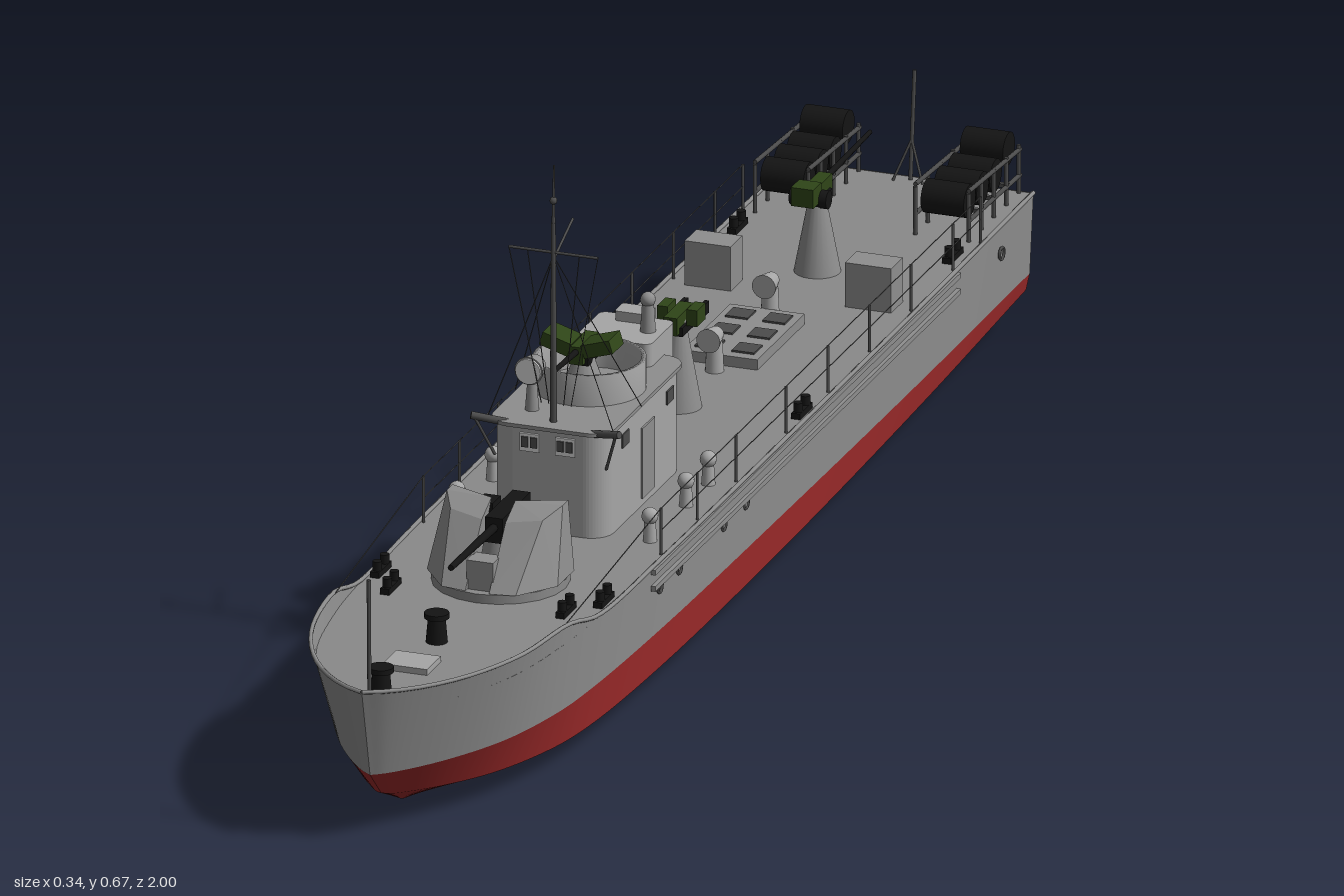
import * as THREE from 'three';
import { ConvexGeometry } from 'three/addons/geometries/ConvexGeometry.js';

const V = (x, y, z) => new THREE.Vector3(x, y, z);
const mat = (name, color, side = THREE.FrontSide) => {
  const m = new THREE.MeshStandardMaterial({ color, side });
  m.name = name;
  return m;
};

export function createModel() {
  const g = new THREE.Group();
  const D = THREE.DoubleSide;
  const grey = mat('hullGrey', 0x8e8e8e, D), red = mat('bottomRed', 0x9c2a2a, D);
  const deckM = mat('deckGrey', 0x8a8a8a, D), light = mat('houseGrey', 0xa6a6a6, D);
  const dark = mat('darkGrey', 0x4c4c4c), black = mat('black', 0x141414);
  const green = mat('gunGreen', 0x2f4518), white = mat('white', 0xdcdcdc), buoyRed = mat('buoyRed', 0xc8281e);

  // Helpers
  const add = (name, geo, m, x = 0, y = 0, z = 0, rx = 0, ry = 0, rz = 0) => {
    const o = new THREE.Mesh(geo, m);
    o.name = name;
    o.position.set(x, y, z);
    o.rotation.set(rx, ry, rz);
    g.add(o);
    return o;
  };
  const box = (name, m, w, h, d, x, y, z, rx, ry, rz) => add(name, new THREE.BoxGeometry(w, h, d), m, x, y, z, rx, ry, rz);
  const cyl = (name, m, r1, r2, h, x, y, z, rx, ry, rz) => add(name, new THREE.CylinderGeometry(r1, r2, h, 20), m, x, y, z, rx, ry, rz);
  const rod = (name, m, a, b, r, r2 = r) => {
    const o = add(name, new THREE.CylinderGeometry(r2, r, a.distanceTo(b), r < 0.0015 ? 4 : 8), m);
    o.position.copy(a).add(b).multiplyScalar(0.5);
    o.quaternion.setFromUnitVectors(V(0, 1, 0), b.clone().sub(a).normalize());
  };
  const slab = (name, m, w, h, d, r, y, z) => {
    const s = new THREE.Shape(), a = w / 2, b = d / 2;
    s.moveTo(-a + r, -b).lineTo(a - r, -b).absarc(a - r, -b + r, r, -Math.PI / 2, 0)
      .absarc(a - r, b - r, r, 0, Math.PI / 2).absarc(-a + r, b - r, r, Math.PI / 2, Math.PI)
      .absarc(-a + r, -b + r, r, Math.PI, Math.PI * 1.5);
    add(name, new THREE.ExtrudeGeometry(s, { depth: h, bevelEnabled: false, curveSegments: 6 }), m, 0, y, z, -Math.PI / 2);
  };
  const loft = (name, m, A, B, flip) => {
    const pos = [], idx = [];
    A.forEach((a, i) => {
      pos.push(...a.toArray(), ...B[i].toArray());
      if (i) {
        const k = i * 2 - 2;
        idx.push(...(flip ? [k, k + 2, k + 1, k + 1, k + 2, k + 3] : [k, k + 1, k + 2, k + 1, k + 3, k + 2]));
      }
    });
    const geo = new THREE.BufferGeometry();
    geo.setAttribute('position', new THREE.Float32BufferAttribute(pos, 3));
    geo.setIndex(idx);
    geo.computeVertexNormals();
    add(name, geo, m);
  };

  // Hull stations: z, deck x, waterline x, chine x, chine y, keel y, sheer y
  const stations = [
    [-0.985, 0.162, 0.157, 0.152, 0.055, 0.036, 0.188], [-0.6, 0.166, 0.162, 0.158, 0.045, 0.02, 0.188],
    [-0.1, 0.167, 0.164, 0.161, 0.036, 0.006, 0.188], [0.35, 0.166, 0.162, 0.158, 0.034, 0.003, 0.188],
    [0.58, 0.162, 0.154, 0.146, 0.035, 0.003, 0.19], [0.68, 0.158, 0.144, 0.13, 0.037, 0.004, 0.213],
    [0.8, 0.141, 0.116, 0.095, 0.041, 0.007, 0.214], [0.89, 0.107, 0.077, 0.055, 0.045, 0.013, 0.215],
    [0.95, 0.067, 0.042, 0.026, 0.049, 0.019, 0.216], [0.985, 0.03, 0.016, 0.009, 0.052, 0.025, 0.217],
    [1.0, 0, 0, 0, 0.055, 0.03, 0.217]];
  const level = (rake, fx, fy) => new THREE.CatmullRomCurve3(stations.map(s =>
    V(fx(s), fy(s), s[0] - rake * Math.max(0, (s[0] - 0.45) / 0.55) ** 3))).getPoints(60);
  const sheer = level(0, s => s[1], s => s[6]);
  const water = level(0.03, s => s[2], s => 0.086 + 0.008 * s[0]);
  const chine = level(0.07, s => s[3], s => s[4]);
  const keel = level(0.13, () => 0, s => s[5]);
  const DECK = 0.187;
  const edge = sheer.map((p, i) => water[i].clone().lerp(p, Math.min(1, (DECK - water[i].y) / (p.y - water[i].y))));
  const mirror = a => a.map(p => V(-p.x, p.y, p.z));
  for (const s of [1, -1]) {
    const f = a => s > 0 ? a : mirror(a);
    loft('topside', grey, f(water), f(sheer), s < 0);
    loft('bilge', red, f(chine), f(water), s < 0);
    loft('bottom', red, f(keel), f(chine), s < 0);
    add('gunwale', new THREE.TubeGeometry(new THREE.CatmullRomCurve3(f(sheer)), 80, 0.003, 6), grey);
  }
  loft('deck', deckM, edge, mirror(edge), true);
  const transom = (name, m, a, b, c) => {
    const p = [a, b].map(q => new THREE.Vector2(q.x, q.y));
    if (c) p.push(new THREE.Vector2(0, c.y));
    for (const q of [b, a]) p.push(new THREE.Vector2(-q.x, q.y));
    add(name, new THREE.ShapeGeometry(new THREE.Shape(p)), m, 0, 0, -0.985, 0, Math.PI);
  };
  transom('transomUpper', grey, sheer[0], water[0]);
  transom('transomLower', red, water[0], chine[0], keel[0]);

  // Deckhouse, bridge and rear casing
  slab('deckhouse', light, 0.155, 0.142, 0.28, 0.03, DECK, 0.19);
  slab('rearCasing', light, 0.1, 0.175, 0.09, 0.01, DECK, 0.05);
  slab('ventTrunk', light, 0.045, 0.11, 0.03, 0.004, 0.265, 0.015);
  slab('roofEdge', grey, 0.165, 0.005, 0.29, 0.03, 0.326, 0.19);
  add('bridgeTub', new THREE.LatheGeometry([[0.072, 0], [0.072, 0.042], [0.066, 0.042], [0.066, 0]].map(p =>
    new THREE.Vector2(...p)), 32), light, 0, 0.33, 0.18);
  for (const s of [1, -1]) {
    box('windowFrame', white, 0.026, 0.024, 0.004, s * 0.024, 0.307, 0.331);
    for (const k of [-1, 1]) box('windowPane', dark, 0.009, 0.014, 0.003, s * 0.024 + k * 0.006, 0.308, 0.3335);
    box('sideDoor', grey, 0.004, 0.095, 0.045, s * 0.078, 0.245, 0.18);
    for (const z of [0.1, 0.26]) box('sideWindow', dark, 0.003, 0.018, 0.024, s * 0.078, 0.3, z);
    rod('signalArm', dark, V(s * 0.05, 0.325, 0.32), V(s * 0.1, 0.337, 0.34), 0.005);
    rod('armStay', dark, V(s * 0.095, 0.335, 0.34), V(s * 0.075, 0.28, 0.32), 0.002);
  }
  for (let i = 0; i < 7; i++) box('ladderRung', dark, 0.03, 0.003, 0.006, -0.015, 0.21 + i * 0.02, 0.003);
  add('lifebuoy', new THREE.TorusGeometry(0.019, 0.005, 8, 24), buoyRed, -0.083, 0.3, 0.11, 0, Math.PI / 2);
  // Searchlight
  cyl('searchlightStand', grey, 0.006, 0.009, 0.04, -0.04, 0.35, 0.28);
  cyl('searchlight', grey, 0.019, 0.014, 0.025, -0.04, 0.387, 0.28, Math.PI / 2);
  cyl('searchlightGlass', white, 0.017, 0.017, 0.003, -0.04, 0.387, 0.294, Math.PI / 2);
  cyl('compass', grey, 0.007, 0.01, 0.045, 0.03, 0.385, 0.05);
  add('compassTop', new THREE.SphereGeometry(0.01, 12, 8), grey, 0.03, 0.405, 0.05);

  // Mast and rigging
  rod('mast', dark, V(0, 0.33, 0.31), V(0, 0.6, 0.31), 0.005, 0.003);
  rod('topmast', dark, V(0, 0.6, 0.31), V(0, 0.677, 0.308), 0.0025, 0.0012);
  add('mastLight', new THREE.SphereGeometry(0.005, 10, 8), dark, 0, 0.63, 0.31);
  rod('yard', dark, V(-0.06, 0.56, 0.31), V(0.06, 0.56, 0.31), 0.002);
  rod('gaff', dark, V(0, 0.55, 0.31), V(0, 0.58, 0.24), 0.0018);
  for (const s of [1, -1]) {
    for (const [x, x2] of [[0.06, 0.02], [0.035, 0.01]])
      rod('halyard', dark, V(s * x, 0.56, 0.31), V(s * x2, 0.35, 0.3), 0.0007);
    for (const z of [0.22, 0.32]) rod('shroud', dark, V(0, 0.555, 0.31), V(s * 0.085, 0.33, z), 0.0007);
  }

  // Forward gun with split shield
  cyl('gunPlatform', deckM, 0.088, 0.088, 0.012, 0, DECK + 0.006, 0.5);
  cyl('gunPedestal', grey, 0.022, 0.035, 0.06, 0, 0.225, 0.49);
  for (const s of [1, -1])
    add('gunShield', new ConvexGeometry([[0.016, 0.2, 0.585], [0.05, 0.2, 0.58], [0.088, 0.2, 0.53], [0.088, 0.2, 0.47],
      [0.016, 0.2, 0.54], [0.016, 0.275, 0.525], [0.062, 0.28, 0.515], [0.078, 0.292, 0.485], [0.078, 0.292, 0.465],
      [0.016, 0.292, 0.49]].map(p => V(s * p[0], p[1], p[2]))).toNonIndexed(), grey);
  box('shieldSill', grey, 0.036, 0.04, 0.03, 0, 0.218, 0.56);
  box('gunBreech', black, 0.024, 0.034, 0.1, 0, 0.262, 0.475);
  rod('gunBarrel', black, V(0, 0.265, 0.5), V(0, 0.268, 0.68), 0.006, 0.004);
  for (const s of [1, -1]) box('gunSight', black, 0.022, 0.022, 0.03, s * 0.035, 0.262, 0.45);

  // Light guns: bridge, midship and aft
  const gun = (y, z, dir, len, scale) => {
    cyl('gunStand', grey, 0.009 * scale, 0.03 * scale, y - (z > 0 ? 0.33 : DECK), 0, (y + (z > 0 ? 0.33 : DECK)) / 2, z);
    box('gunBody', green, 0.018 * scale, 0.024, 0.06 * scale, 0, y, z);
    box('gunCradle', black, 0.026 * scale, 0.012, 0.04 * scale, 0, y - 0.01, z);
    rod('lightBarrel', black, V(0, y + 0.004, z), V(0, y + 0.008, z + dir * len), 0.0045, 0.003);
  };
  gun(0.39, 0.2, 1, 0.11, 1);
  gun(0.305, -0.14, 1, 0.06, 1);
  gun(0.297, -0.64, -1, 0.19, 1);
  for (const s of [1, -1]) {
    box('bridgeMagazine', green, 0.04, 0.018, 0.04, s * 0.028, 0.402, 0.21, 0, 0, s * 0.3);
    box('midMagazine', green, 0.014, 0.022, 0.03, s * 0.02, 0.31, -0.15);
    box('shoulderRest', black, 0.006, 0.016, 0.04, s * 0.014, 0.3, -0.185);
    cyl('aftHandwheel', black, 0.012, 0.012, 0.01, s * 0.02, 0.295, -0.615, 0, 0, Math.PI / 2);
  }
  box('aftSight', green, 0.03, 0.025, 0.03, 0, 0.305, -0.6);

  // Stern depth charge racks
  for (const s of [1, -1]) {
    const X = s * 0.108;
    for (const k of [-0.036, 0.036]) {
      rod('rackRailLow', dark, V(X + k, 0.215, -0.8), V(X + k, 0.21, -0.985), 0.003);
      rod('rackRailHigh', dark, V(X + k, 0.255, -0.8), V(X + k, 0.245, -0.985), 0.003);
      for (let i = 0; i < 5; i++) rod('rackPost', dark, V(X + k, DECK, -0.8 - i * 0.045), V(X + k, 0.252, -0.8 - i * 0.045), 0.0028);
    }
    for (let i = 0; i < 4; i++) {
      const last = i === 3;
      cyl('depthCharge', black, 0.022, 0.022, 0.058, X, last ? 0.252 : 0.233, -0.822 - i * 0.047, 0, 0, Math.PI / 2);
      if (!last) box('rackCrossbar', dark, 0.075, 0.005, 0.006, X, 0.212, -0.845 - i * 0.047);
    }

    // Side fittings: lockers, cleats, vents, rub strakes, portholes
    box('locker', grey, 0.062, 0.06, 0.042, X, DECK + 0.03, -0.555);
    for (const [x, z] of [[0.118, 0.58], [0.15, 0.53], [0.155, -0.17], [0.145, -0.74]]) {
      box('cleatBase', black, 0.012, 0.008, 0.045, s * x, DECK + 0.004, z);
      for (const k of [-0.013, 0.013]) cyl('cleatPost', black, 0.006, 0.006, 0.02, s * x, DECK + 0.01, z + k);
    }
    for (const z of [0.1, 0.18, 0.31]) {
      cyl('sideVent', light, 0.007, 0.009, 0.03, s * 0.13, DECK + 0.015, z);
      add('sideVentCap', new THREE.SphereGeometry(0.011, 12, 8), light, s * 0.13, DECK + 0.034, z);
    }
    for (const y of [0.16, 0.182]) box('rubStrake', grey, 0.006, 0.007, 1.1, s * 0.168, y, -0.15);
    for (const z of [0.37, 0.3, 0.14, 0.06, -0.86])
      add('porthole', new THREE.TorusGeometry(0.008, 0.002, 6, 16), dark, s * 0.166, 0.152, z, 0, Math.PI / 2);
    box('anchor', dark, 0.008, 0.02, 0.03, s * 0.15, 0.165, 0.63);

    // Guard rails
    const zs = [0.35, 0.22, 0.08, -0.1, -0.25, -0.4, -0.55, -0.7, -0.8];
    zs.forEach((z, i) => {
      rod('railPost', dark, V(s * 0.16, DECK, z), V(s * 0.16, 0.25, z), 0.002);
      if (i) for (const y of [0.25, 0.22]) rod('railWire', dark, V(s * 0.16, y, zs[i - 1]), V(s * 0.16, y, z), 0.0009);
    });
    rod('railWire', dark, V(s * 0.16, 0.25, 0.35), V(s * 0.155, 0.213, 0.68), 0.0009);
  }

  // Centreline deck fittings
  for (const z of [0.73, 0.93]) {
    cyl('bollard', black, 0.011, 0.014, 0.035, 0, DECK + 0.017, z);
    cyl('bollardCap', black, 0.016, 0.016, 0.007, 0, DECK + 0.036, z);
  }
  box('foreHatch', light, 0.06, 0.008, 0.05, 0, DECK + 0.004, 0.82);
  box('engineHatch', grey, 0.1, 0.014, 0.17, 0, DECK + 0.007, -0.375);
  for (const s of [1, -1]) for (let i = 0; i < 3; i++)
    box('skylight', dark, 0.03, 0.003, 0.03, s * 0.025, DECK + 0.015, -0.32 - i * 0.055);
  for (const z of [-0.27, -0.47]) {
    cyl('cowlVent', light, 0.01, 0.012, 0.045, 0, DECK + 0.022, z);
    cyl('cowlMouth', light, 0.016, 0.01, 0.03, 0, DECK + 0.048, z + 0.008, Math.PI / 2);
  }
  rod('jackstaff', dark, V(0, DECK, 0.972), V(0, 0.36, 0.975), 0.0028);
  rod('ensignStaff', dark, V(0, DECK, -0.975), V(0, 0.33, -0.99), 0.0028);
  for (const s of [1, -1]) rod('staffBrace', dark, V(s * 0.02, DECK, -0.965), V(0, 0.24, -0.98), 0.0018);
  return g;
}
